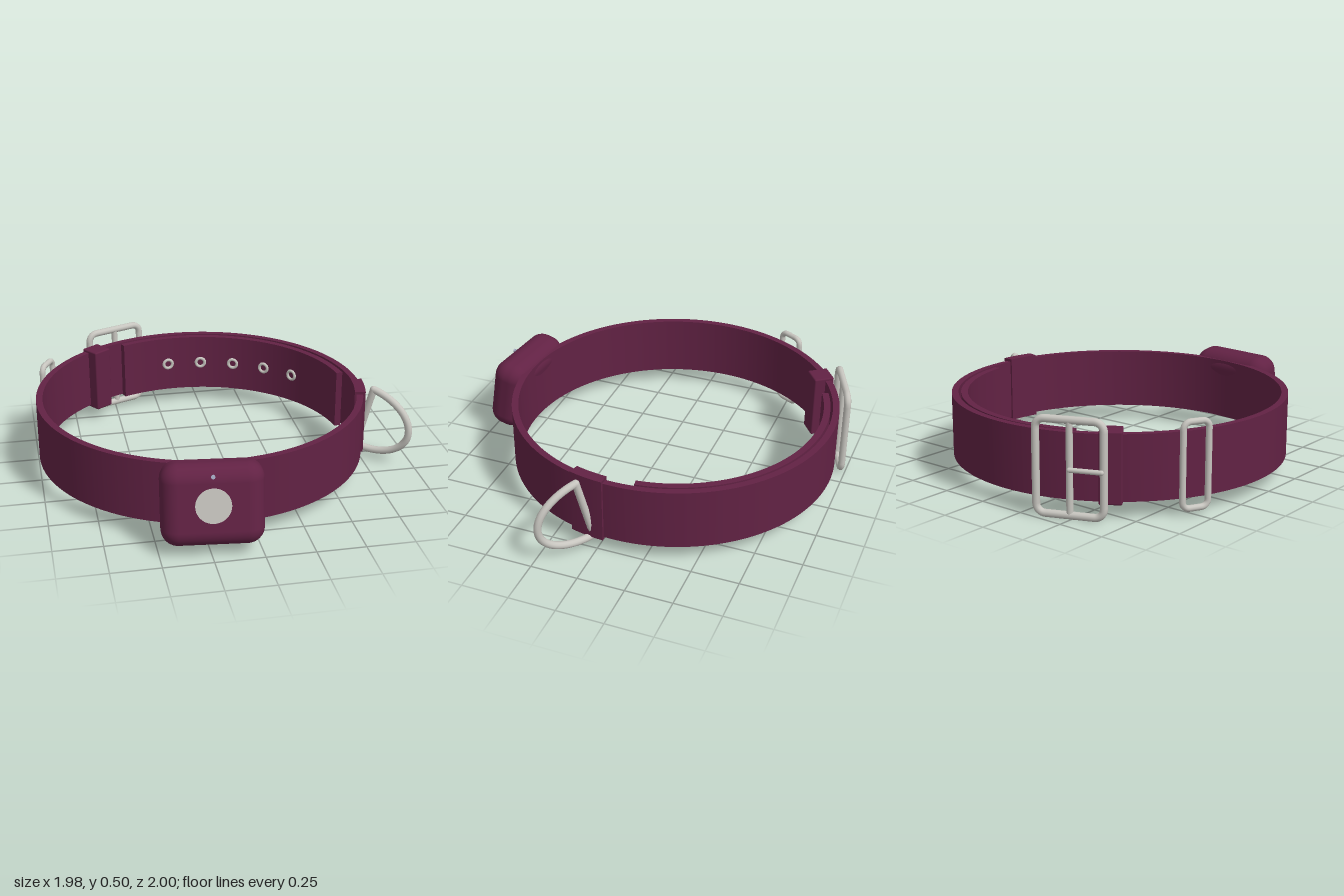
import * as THREE from 'three';
import { toCreasedNormals } from 'three/addons/utils/BufferGeometryUtils.js';
import { RoundedBoxGeometry } from 'three/addons/geometries/RoundedBoxGeometry.js';

const CX = -0.123, CZ = -0.09, MID = 0.254;
const rad = THREE.MathUtils.degToRad;

export function createModel() {
  const model = new THREE.Group();
  const strapMat = new THREE.MeshStandardMaterial({ color: 0x622244 });
  strapMat.name = 'burgundy';
  const metalMat = new THREE.MeshStandardMaterial({ color: 0xc8c6c0 });
  metalMat.name = 'silver';
  const lightMat = new THREE.MeshStandardMaterial({ color: 0xa9b0c8 });
  lightMat.name = 'pale indicator';

  const add = (parent, name, geometry, material) => {
    const mesh = new THREE.Mesh(geometry, material);
    mesh.name = name;
    parent.add(mesh);
    return mesh;
  };

  // Curved band between two radii; angles run from +x towards -z, in degrees
  const band = (r0, r1, y0, y1, a0, a1) => {
    const shape = new THREE.Shape();
    if (a1 - a0 >= 360) {
      shape.absarc(0, 0, r1, 0, Math.PI * 2, false);
      const hole = new THREE.Path();
      hole.absarc(0, 0, r0, 0, Math.PI * 2, true);
      shape.holes.push(hole);
    } else {
      shape.absarc(0, 0, r1, rad(a0), rad(a1), false);
      shape.absarc(0, 0, r0, rad(a1), rad(a0), true);
      shape.closePath();
    }
    const geo = new THREE.ExtrudeGeometry(shape, { depth: y1 - y0, bevelEnabled: false, curveSegments: 120 });
    geo.rotateX(-Math.PI / 2).translate(CX, y0, CZ);
    return toCreasedNormals(geo, rad(35));
  };

  // Group on the ring: local +x points outwards, local z runs along the strap
  const station = (name, angle, radius, turn = angle) => {
    const g = new THREE.Group();
    g.name = name;
    g.position.set(CX + Math.cos(rad(angle)) * radius, MID, CZ - Math.sin(rad(angle)) * radius);
    g.rotation.y = rad(turn);
    model.add(g);
    return g;
  };

  // Rounded rectangular wire loop lying in the local yz plane
  const wireLoop = (width, height, corner, wire) => {
    const w = width / 2 - wire - corner, h = height / 2 - wire - corner;
    const path = new THREE.Path();
    [[w, h], [-w, h], [-w, -h], [w, -h]].forEach(([x, y], i) =>
      path.absarc(x, y, corner, i * Math.PI / 2, (i + 1) * Math.PI / 2, false));
    path.closePath();
    const pts = path.getSpacedPoints(96).slice(0, -1).map(p => new THREE.Vector3(0, p.y, p.x));
    return new THREE.TubeGeometry(new THREE.CatmullRomCurve3(pts, true), 160, wire, 10, true);
  };

  // Strap and its overlapping inner end
  add(model, 'strap', band(0.842, 0.877, 0.09, 0.418, 0, 360), strapMat);
  add(model, 'strapInnerEnd', band(0.794, 0.829, 0.092, 0.416, 6.4, 114), strapMat);

  // Eyelets along the inner end
  for (let i = 0; i < 5; i++) {
    const eyelet = station('eyelet' + (i + 1), 93.9 - i * 14.15, 0.792);
    add(eyelet, 'eyeletRing', new THREE.TorusGeometry(0.026, 0.009, 8, 24).rotateY(Math.PI / 2), metalMat);
  }

  // Strap keepers
  const keeper = station('buckleKeeper', 126, 0.834);
  add(keeper, 'keeperBlock', new RoundedBoxGeometry(0.112, 0.356, 0.112, 2, 0.008), strapMat);
  add(model, 'ringKeeper', band(0.832, 0.89, 0.077, 0.433, -15.2, -3.4), strapMat);

  // Buckle with centre bar and prong
  const buckle = station('buckle', 113.9, 0.905, 112.5);
  add(buckle, 'buckleFrame', wireLoop(0.37, 0.5, 0.045, 0.019), metalMat);
  add(buckle, 'buckleBar', new THREE.CylinderGeometry(0.017, 0.017, 0.465, 12), metalMat);
  const prong = add(buckle, 'buckleProng', new THREE.CapsuleGeometry(0.012, 0.155, 4, 10).rotateX(Math.PI / 2), metalMat);
  prong.position.set(0.028, 0, -0.085);

  // Plain slide loop
  const slide = station('slideLoop', 152.1, 0.893);
  add(slide, 'slideLoopWire', wireLoop(0.165, 0.455, 0.035, 0.016), metalMat);

  // D-shaped ring, swung forwards and rolled slightly in its own plane
  const dRing = new THREE.Group();
  dRing.name = 'dRing';
  dRing.position.set(0.765, 0.245, 0.055);
  dRing.rotation.set(0, -Math.atan2(0.64, 0.77), -0.25, 'YXZ');
  model.add(dRing);
  const H = 0.178, W = 0.262, WIRE = 0.02;
  const arc = [];
  for (let i = 0; i <= 32; i++) {
    const t = -Math.PI / 2 + Math.PI * i / 32;
    arc.push(new THREE.Vector3(W * Math.cos(t), H * Math.sin(t), 0));
  }
  add(dRing, 'dRingArc', new THREE.TubeGeometry(new THREE.CatmullRomCurve3(arc), 64, WIRE, 12), metalMat);
  add(dRing, 'dRingBar', new THREE.CylinderGeometry(WIRE, WIRE, H * 2, 12), metalMat);
  for (const s of [-1, 1]) {
    add(dRing, 'dRingCorner', new THREE.SphereGeometry(WIRE, 12, 8), metalMat).position.y = s * H;
  }

  // Tracker case with button and indicator, leaning back
  const tracker = new THREE.Group();
  tracker.name = 'tracker';
  tracker.position.set(-0.235, 0.256, 0.86);
  tracker.rotation.set(-0.17, -0.11, 0, 'YXZ');
  model.add(tracker);
  add(tracker, 'trackerCase', new RoundedBoxGeometry(0.5, 0.41, 0.2, 8, 0.085), strapMat);
  const disc = (name, r, y, material) => {
    const geo = new THREE.CylinderGeometry(r, r, 0.008, 40).rotateX(Math.PI / 2);
    add(tracker, name, geo, material).position.set(0, y, 0.1);
  };
  disc('trackerButton', 0.087, 0.012, metalMat);
  disc('trackerLight', 0.01, 0.115 + 0.04, lightMat);

  return model;
}
